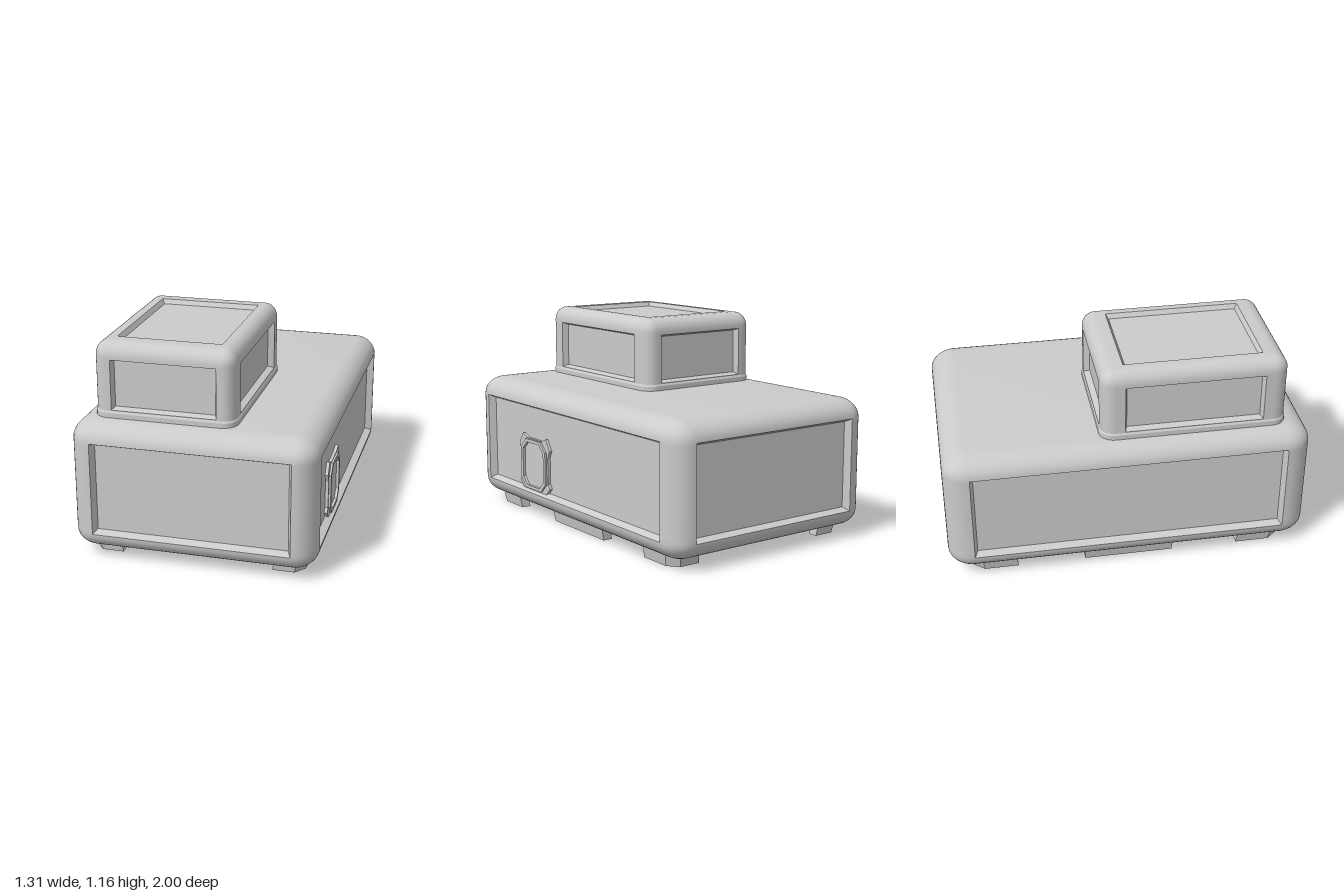
import * as THREE from 'three';
import { toCreasedNormals } from 'three/addons/utils/BufferGeometryUtils.js';

const grey = new THREE.MeshStandardMaterial({ color: 0xcccccc });
const ARC = 8;

function addMesh(parent, name, geometry) {
  const mesh = new THREE.Mesh(geometry, grey);
  mesh.name = name;
  parent.add(mesh);
  return mesh;
}

// Rounded-rectangle ring: c = corner centres, r = corner radii, p = half panel sizes,
// d = panel recess, b = panel bevel
function ring(y, [cx, cz], [rx, rz], [px, pz], d = 0, b = 0) {
  const pts = [];
  for (let k = 0; k < 4; k++) {
    const sx = k === 0 || k === 3 ? 1 : -1, sz = k < 2 ? 1 : -1;
    for (let i = 0; i <= ARC; i++) {
      const a = (k + i / ARC) * Math.PI / 2;
      pts.push(new THREE.Vector3(sx * cx + rx * Math.cos(a), y, sz * cz + rz * Math.sin(a)));
    }
    // Flat face after this corner, with its recessed middle
    const n = [[0, 1], [-1, 0], [0, -1], [1, 0]][k];
    const h = k % 2 ? cx + rx : cz + rz;
    const p = k % 2 ? Math.min(pz, cz) : Math.min(px, cx);
    for (const [out, along] of [[h, -p], [h - d, b - p], [h - d, p - b], [h, p]])
      pts.push(new THREE.Vector3(n[0] * out - n[1] * along, y, n[1] * out + n[0] * along));
  }
  return pts;
}

// Skin between successive rings, leaving out collapsed triangles
function loft(rings) {
  const pos = [], tri = new THREE.Triangle();
  const face = (a, b, c) => {
    tri.set(a, b, c);
    if (tri.getArea() > 1e-8) for (const v of [a, b, c]) pos.push(v.x, v.y, v.z);
  };
  for (let j = 0; j < rings.length - 1; j++) {
    const lo = rings[j], hi = rings[j + 1];
    for (let i = 0; i < lo.length; i++) {
      const n = (i + 1) % lo.length;
      face(lo[i], hi[i], hi[n]);
      face(lo[i], hi[n], lo[n]);
    }
  }
  const geo = new THREE.BufferGeometry();
  geo.setAttribute('position', new THREE.Float32BufferAttribute(pos, 3));
  return toCreasedNormals(geo, 0.5);
}

const point = (y) => ring(y, [0, 0], [0, 0], [0, 0]);

// Rings of a rounded edge, from upright side (t = 0) to flat cap (t = 1)
function roundEdge(y, height, c, r, p) {
  return Array.from({ length: ARC + 1 }, (_, i) => {
    const t = i / ARC * Math.PI / 2, s = i === ARC ? 0 : Math.cos(t);
    return ring(y + height * Math.sin(t), c, [r[0] * s, r[1] * s], p);
  });
}

// Rings of the recessed panels around the sides
function panelBand(y0, y1, c, r, p, d, b) {
  return [ring(y0, c, r, p), ring(y0 + b, c, r, p, d, b),
    ring(y1 - b, c, r, p, d, b), ring(y1, c, r, p)];
}

function polygon(points, Type = THREE.Shape) {
  return new Type(points.map(([x, y]) => new THREE.Vector2(x, y)));
}

// Foot pad with its lower end drawn slightly inwards
function footGeometry(points) {
  const geo = new THREE.ExtrudeGeometry(polygon(points), { depth: 0.08, bevelEnabled: false });
  geo.rotateX(Math.PI / 2).translate(0, 0.08, 0);
  const pos = geo.attributes.position;
  for (let i = 0; i < pos.count; i++)
    if (pos.getY(i) < 0.01) pos.setXYZ(i, pos.getX(i) * 0.975, 0, pos.getZ(i) * 0.985);
  geo.computeVertexNormals();
  return geo;
}

const octagon = (w, y0, y1, k) => [
  [-w, y0 + k], [-w + k, y0], [w - k, y0], [w, y0 + k],
  [w, y1 - k], [w - k, y1], [-w + k, y1], [-w, y1 - k]];

export function createModel() {
  const model = new THREE.Group();
  model.name = 'twoTierBlock';

  // Main body
  const c = [0.53, 0.86], r = [0.125, 0.14], p = [0.53, 0.86];
  addMesh(model, 'mainBody', loft([
    point(0.05),
    ...roundEdge(0.15, -0.1, c, r, p).reverse(),
    ...panelBand(0.15, 0.66, c, r, p, 0.04, 0.018),
    ...roundEdge(0.66, 0.105, c, r, p),
    point(0.765),
  ]));

  // Upper block with a flared foot and a recessed roof panel
  const uc = [0.305, 0.43], ur = [0.07, 0.075], up = [0.28, 0.377];
  const flare = ur.map((v) => v + 0.006);
  const none = [0, 0];
  addMesh(model, 'upperBlock', loft([
    ring(0.74, uc, flare, up), ring(0.79, uc, flare, up), ring(0.8, uc, ur, up),
    ...panelBand(0.805, 1.075, uc, ur, up, 0.035, 0.012),
    ...roundEdge(1.09, 0.075, uc, ur, up),
    ring(1.165, up, none, up),
    ring(1.14, up.map((v) => v - 0.016), none, up),
    point(1.14),
  ])).position.set(-0.17, 0, 0.36);

  // Hatch on the left side
  const hatch = new THREE.Group();
  hatch.name = 'sideHatch';
  hatch.rotation.y = Math.PI / 2;
  hatch.position.set(0.61, 0, 0.375);
  model.add(hatch);
  const half = [[0.145, 0.225], [0.145, 0.375], [0.165, 0.42], [0.125, 0.482], [0.075, 0.462]];
  const lower = [[0.125, 0.16], [0.165, 0.2]];
  const right = [...lower, ...half];
  const outline = [...right, ...right.map(([x, y]) => [-x, y]).reverse()];
  const plate = (name, points, hole, depth) => {
    const shape = polygon(points);
    if (hole) shape.holes.push(polygon(hole, THREE.Path));
    addMesh(hatch, name, new THREE.ExtrudeGeometry(shape, { depth, bevelEnabled: false }));
  };
  plate('hatchSurround', outline, octagon(0.125, 0.175, 0.452, 0.05), 0.022);
  plate('hatchRim', octagon(0.132, 0.168, 0.458, 0.052), octagon(0.11, 0.185, 0.44, 0.045), 0.033);
  plate('hatchPanel', octagon(0.112, 0.183, 0.442, 0.045), null, 0.018);

  // L-shaped corner feet and a strip under each long side
  const corner = [[0.59, 0.63], [0.59, 0.82], [0.54, 0.88], [0.42, 0.88],
    [0.42, 0.825], [0.515, 0.825], [0.535, 0.8], [0.535, 0.63]];
  const strip = [[0.59, -0.25], [0.59, 0.25], [0.535, 0.25], [0.535, -0.25]];
  for (const sx of [1, -1]) {
    for (const sz of [1, -1])
      addMesh(model, 'cornerFoot', footGeometry(corner.map(([x, z]) => [sx * x, sz * z])));
    addMesh(model, 'middleFoot', footGeometry(strip.map(([x, z]) => [sx * x, z])));
  }
  return model;
}
